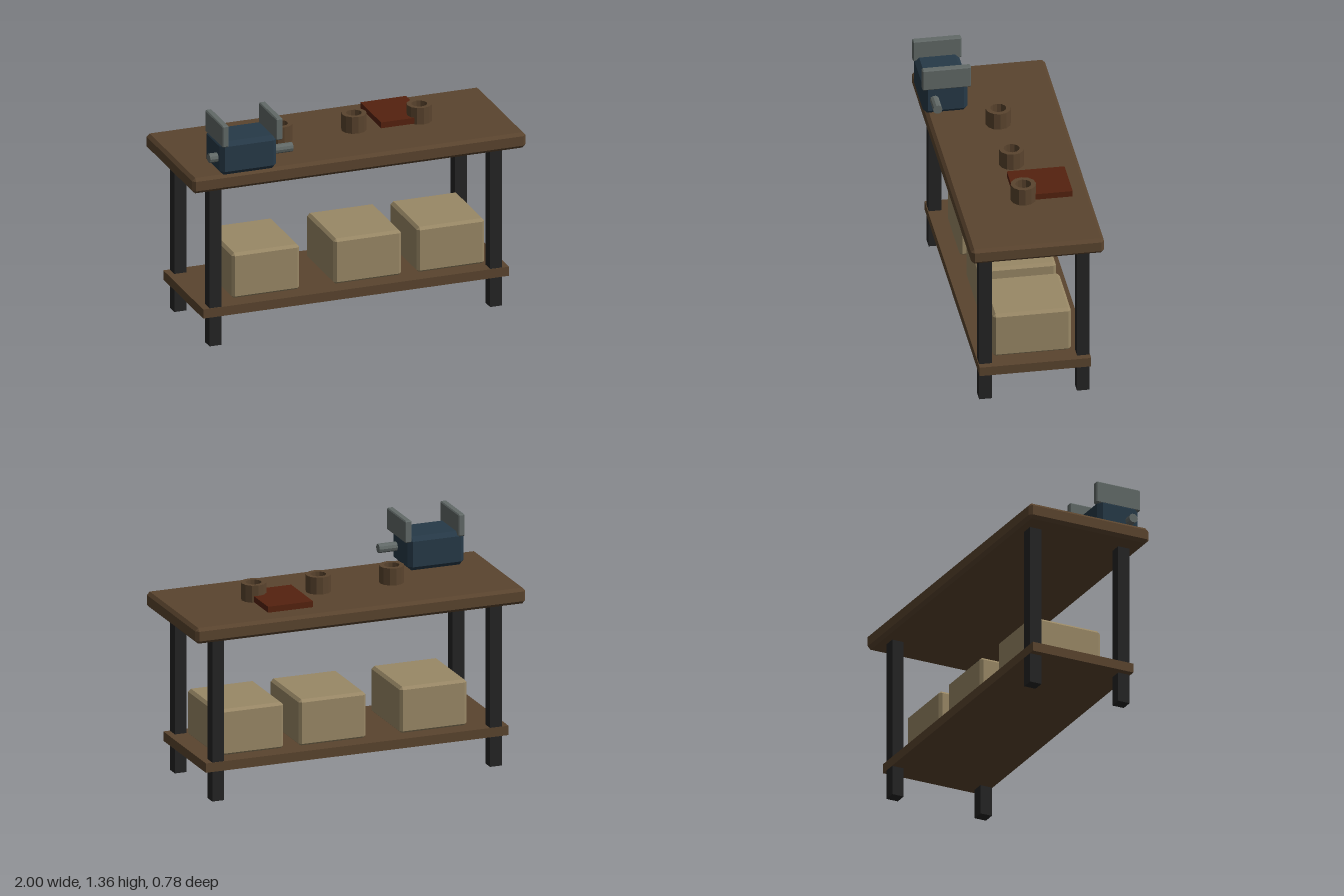
import * as THREE from 'three';
import { ConvexGeometry } from 'three/addons/geometries/ConvexGeometry.js';

const material = (name, color, flatShading = true) => {
  const m = new THREE.MeshStandardMaterial({ color, flatShading });
  m.name = name;
  return m;
};

// Box with every edge cut by a flat bevel
function bevelBox(w, h, d, b) {
  const points = [];
  for (const x of [-1, 1]) for (const y of [-1, 1]) for (const z of [-1, 1]) {
    for (let axis = 0; axis < 3; axis++) {
      const p = [w / 2 - b, h / 2 - b, d / 2 - b];
      p[axis] += b;
      points.push(new THREE.Vector3(p[0] * x, p[1] * y, p[2] * z));
    }
  }
  return new ConvexGeometry(points);
}

export function createModel() {
  const model = new THREE.Group();
  model.name = 'workbench';
  const wood = material('wood', 0x5a442e);
  const steel = material('black steel', 0x242424);
  const card = material('cardboard', 0x998866);
  const blue = material('blue paint', 0x263947);
  const grey = material('grey metal', 0x616967);
  const red = material('red cover', 0x55220f);

  const add = (parent, name, geometry, mat, x, y, z) => {
    const mesh = new THREE.Mesh(geometry, mat);
    mesh.name = name;
    mesh.position.set(x, y, z);
    parent.add(mesh);
    return mesh;
  };
  // Place a box by its minimum and maximum corners
  const addBox = (parent, name, mat, [x0, y0, z0], [x1, y1, z1], bevel = 0) => {
    const size = [x1 - x0, y1 - y0, z1 - z0];
    const geometry = bevel ? bevelBox(...size, bevel) : new THREE.BoxGeometry(...size);
    return add(parent, name, geometry, mat, (x0 + x1) / 2, (y0 + y1) / 2, (z0 + z1) / 2);
  };

  // Bench
  addBox(model, 'tabletop', wood, [-1, 0.957, -0.392], [1, 1.05, 0.365], 0.018);
  addBox(model, 'shelf', wood, [-0.917, 0.175, -0.33], [0.917, 0.23, 0.305]);
  for (const x of [-0.842, 0.842]) {
    for (const z of [-0.292, 0.265]) {
      addBox(model, 'leg', steel, [x - 0.036, 0, z - 0.036], [x + 0.036, 0.965, z + 0.036]);
    }
  }

  // Storage boxes on the shelf
  for (const x of [-0.503, 0.108, 0.608]) {
    addBox(model, 'storageBox', card, [x - 0.203, 0.225, -0.235], [x + 0.203, 0.5, 0.21], 0.016);
  }

  // Vise: body, two upright jaws and a cross screw
  const vise = new THREE.Group();
  vise.name = 'vise';
  model.add(vise);
  addBox(vise, 'viseBody', blue, [-0.84, 1.05, 0.127], [-0.5, 1.25, 0.382], 0.025);
  for (const x of [-0.815, -0.492]) {
    addBox(vise, 'viseJaw', grey, [x - 0.02, 1.226, 0.115], [x + 0.02, 1.356, 0.392], 0.006);
  }
  const screw = add(vise, 'viseScrew', new THREE.CylinderGeometry(0.027, 0.027, 0.5, 10), grey, -0.64, 1.146, 0.32);
  screw.rotation.z = Math.PI / 2;

  // Hollow collars along the bench
  const ring = [[0.045, 0], [0.072, 0], [0.072, 0.1], [0.045, 0.1], [0.045, 0]];
  const ringGeometry = new THREE.LatheGeometry(ring.map(p => new THREE.Vector2(...p)), 12);
  for (const x of [-0.336, 0.108, 0.5]) add(model, 'collar', ringGeometry, wood, x, 1.056, -0.015);

  // Manual lying on the bench
  addBox(model, 'manual', red, [0.252, 1.06, -0.292], [0.525, 1.095, 0.036]);

  return model;
}
